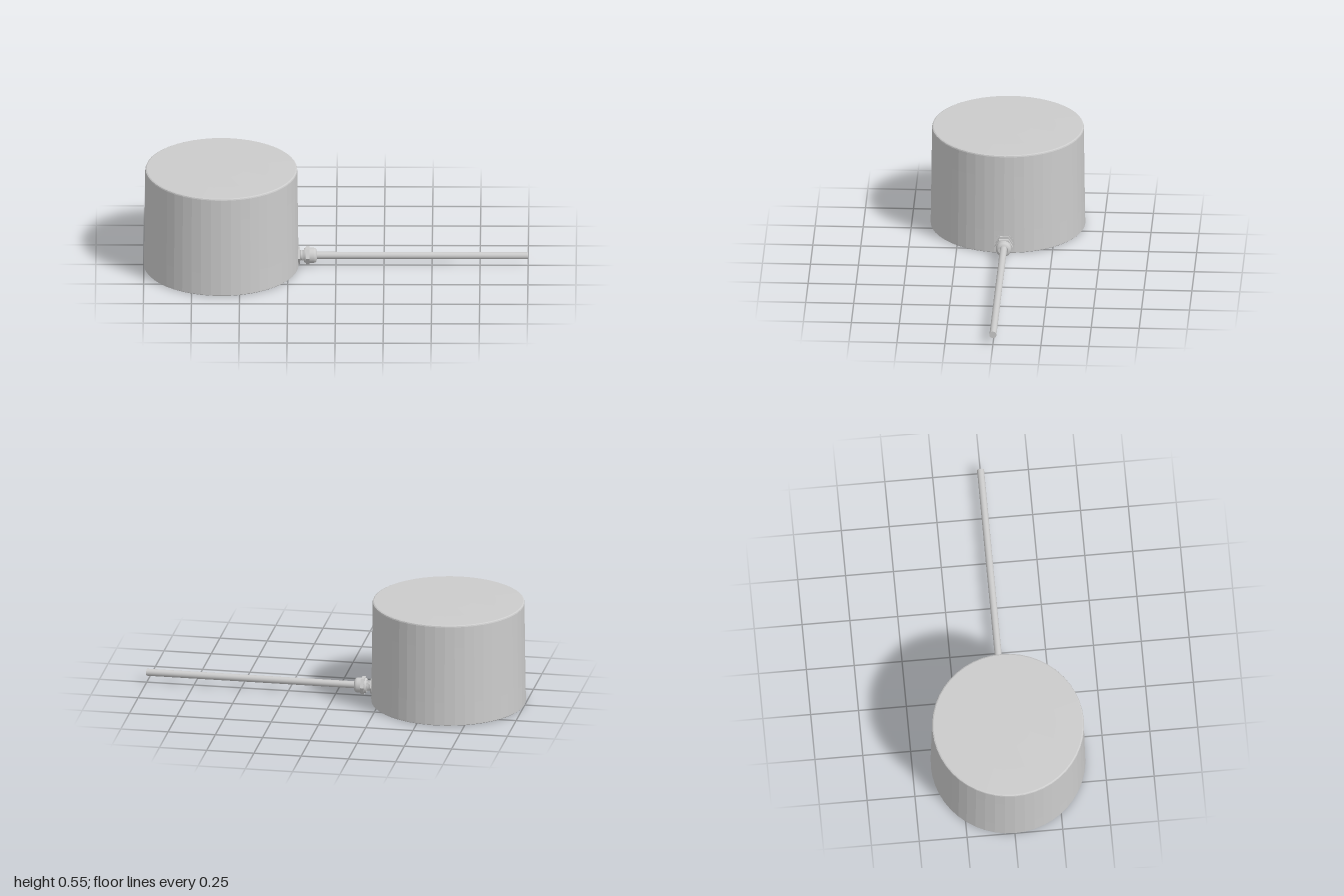
import * as THREE from 'three';

const CX = -0.597, CABLE_Y = 0.055, SEG = 48;

export function createModel() {
  const model = new THREE.Group();
  const flat = new THREE.MeshStandardMaterial({ color: 0xcccccc, flatShading: true });
  const smooth = new THREE.MeshStandardMaterial({ color: 0xcccccc });
  const inner = new THREE.MeshStandardMaterial({ color: 0xcccccc, side: THREE.DoubleSide });

  const add = (name, geometry, material, parent = model) => {
    const mesh = new THREE.Mesh(geometry, material);
    mesh.name = name;
    parent.add(mesh);
    return mesh;
  };
  const lathe = (pts, seg = SEG) =>
    new THREE.LatheGeometry(pts.map(([r, y]) => new THREE.Vector2(r, y)), seg);

  // Housing: three slightly tapering bands under a shallow domed lid
  const housing = new THREE.Group();
  housing.name = 'housing';
  housing.position.x = CX;
  model.add(housing);
  add('baseBand', lathe([[0.4, 0], [0.403, 0.003], [0.403, 0.01], [0.401, 0.125]]), flat, housing);
  add('middleBand', lathe([[0.401, 0.125], [0.397, 0.425]]), flat, housing);
  add('lid', lathe([[0.397, 0.425], [0.396, 0.54], [0.394, 0.546], [0.388, 0.549],
    [0.25, 0.551], [0.12, 0.552], [0, 0.552]]), flat, housing);

  // Underside with one central and two outer screw holes
  const holes = [[0, 0, 0.023], [0, 0.347, 0.016], [0, -0.347, 0.016]];
  const disc = new THREE.Shape();
  for (let i = 0; i < SEG; i++) {
    const a = (i / SEG) * Math.PI * 2;
    const x = 0.4 * Math.sin(a), y = 0.4 * Math.cos(a);
    if (i) disc.lineTo(x, y); else disc.moveTo(x, y);
  }
  for (const [x, z, r] of holes) {
    disc.holes.push(new THREE.Path().absarc(x, z, r, 0, Math.PI * 2, false));
    add('screwHole', lathe([[r, 0], [r, 0.07], [0, 0.07]], 24), inner, housing).position.set(x, 0, z);
  }
  add('underside', new THREE.ShapeGeometry(disc, 12).rotateX(Math.PI / 2), flat, housing);

  // Cable gland and cable, lying along +x
  const gland = new THREE.Group();
  gland.name = 'cableGland';
  gland.position.y = CABLE_Y;
  model.add(gland);
  const along = (name, r, x0, x1, seg, material) => {
    const g = new THREE.CylinderGeometry(r, r, x1 - x0, seg);
    g.rotateZ(-Math.PI / 2).translate((x0 + x1) / 2, 0, 0);
    return add(name, g, material, gland);
  };
  along('spotFace', 0.053, -0.215, -0.197, 32, smooth);
  along('flangeNut', 0.046, -0.2, -0.188, 6, flat);
  along('threadCore', 0.025, -0.2, -0.155, 24, smooth);
  for (let i = 0; i < 4; i++) {
    const ring = new THREE.TorusGeometry(0.025, 0.003, 6, 24).rotateY(Math.PI / 2);
    add('threadRidge', ring, smooth, gland).position.x = -0.184 + i * 0.006;
  }
  along('hexNut', 0.049, -0.155, -0.137, 6, flat);

  // Rounded clamping cap with an opening around the cable
  const cap = lathe([[0.02, -0.166], [0.036, -0.166], [0.036, -0.166], [0.04, -0.158], [0.04, -0.158],
    [0.04, -0.118], [0.038, -0.109], [0.033, -0.103], [0.025, -0.1], [0.025, -0.1], [0.025, -0.115], [0.017, -0.115]], 32);
  add('clampCap', cap.rotateZ(-Math.PI / 2), smooth, gland);
  along('cable', 0.0185, -0.16, 1, 24, smooth);

  return model;
}
